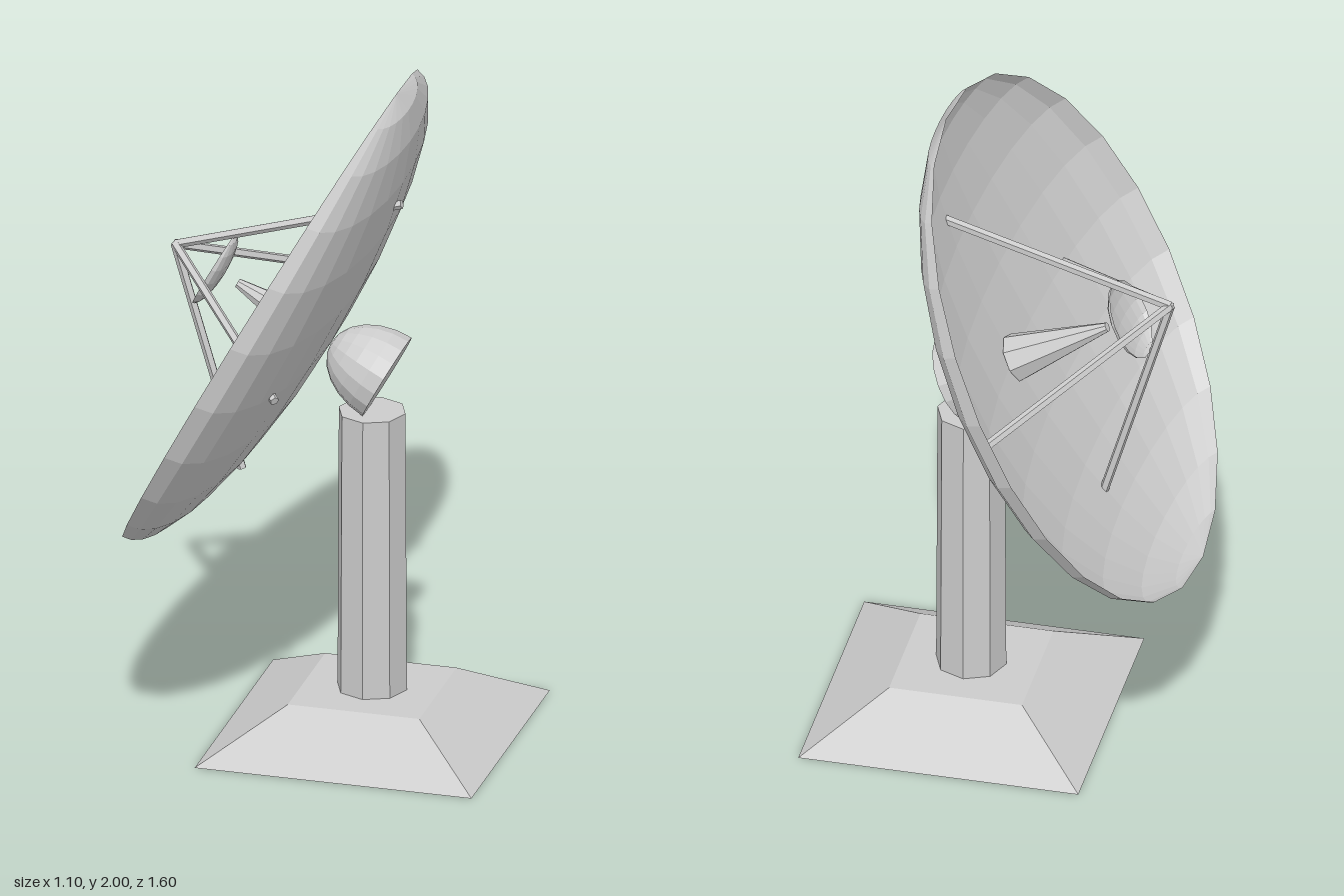
import * as THREE from 'three';

const grey = new THREE.MeshStandardMaterial({ color: 0xcccccc, flatShading: true });
const thin = new THREE.MeshStandardMaterial({ color: 0xcccccc, flatShading: true, side: THREE.DoubleSide });

function add(parent, name, geometry, material = grey) {
  const mesh = new THREE.Mesh(geometry, material);
  mesh.name = name;
  parent.add(mesh);
  return mesh;
}

// Flattened half sphere, open towards +y and bulging towards -y
function bowl(radius, depth, segments) {
  return new THREE.SphereGeometry(1, segments / 2, segments / 2, 0, Math.PI)
    .rotateX(Math.PI / 2)
    .rotateY(Math.PI / 2)
    .scale(radius, depth, radius);
}

// Straight rod between two points
function rod(parent, name, a, b, radius) {
  const dir = b.clone().sub(a);
  const mesh = add(parent, name, new THREE.CylinderGeometry(radius, radius, dir.length(), 5));
  mesh.position.copy(a).addScaledVector(dir, 0.5);
  mesh.quaternion.setFromUnitVectors(new THREE.Vector3(0, 1, 0), dir.normalize());
}

export function createModel() {
  const model = new THREE.Group();
  model.name = 'satelliteDish';
  const poleX = 0.137;

  // Base: square frustum
  const base = add(model, 'base',
    new THREE.CylinderGeometry(0.197 * Math.SQRT2, 0.415 * Math.SQRT2, 0.135, 4).rotateY(Math.PI / 4));
  base.position.set(poleX, 0.0675, 0);

  // Pole
  const pole = add(model, 'pole', new THREE.CylinderGeometry(0.1, 0.104, 0.87, 8));
  pole.position.set(poleX, 0.565, 0);

  // Tilted assembly: local +y is the way the dish looks, local +x runs up its rim
  const dish = new THREE.Group();
  dish.name = 'dishAssembly';
  dish.position.set(-0.17, 1.3, 0);
  dish.rotation.z = 1.0735;
  model.add(dish);

  add(dish, 'reflector', bowl(0.798, 0.21, 24), thin);

  // Swivel mount: elongated half ball with a flat back
  const mount = new THREE.Group();
  mount.name = 'swivelMount';
  mount.position.y = -0.4;
  dish.add(mount);
  add(mount, 'mountDome',
    new THREE.SphereGeometry(1, 16, 6, 0, Math.PI * 2, 0, Math.PI / 2).scale(0.134, 0.19, 0.134));
  add(mount, 'mountBack', new THREE.CircleGeometry(0.134, 16).rotateX(Math.PI / 2));

  // Feed horn on the reflector's axis
  const horn = add(dish, 'feedHorn', new THREE.CylinderGeometry(0.014, 0.073, 0.31, 8));
  horn.position.y = -0.045;

  // Small secondary reflector, bulging towards the main one
  const secondary = add(dish, 'secondaryReflector', bowl(0.119, 0.035, 16), thin);
  secondary.position.y = 0.19;

  // Four struts pierce the reflector and meet in front of it
  const apex = new THREE.Vector3(0, 0.322, 0);
  for (let i = 0; i < 4; i++) {
    const a = i * Math.PI / 2;
    const foot = new THREE.Vector3(0.502 * Math.cos(a), -0.178, 0.502 * Math.sin(a));
    rod(dish, 'strut' + (i + 1), foot, apex, 0.014);
  }
  return model;
}
